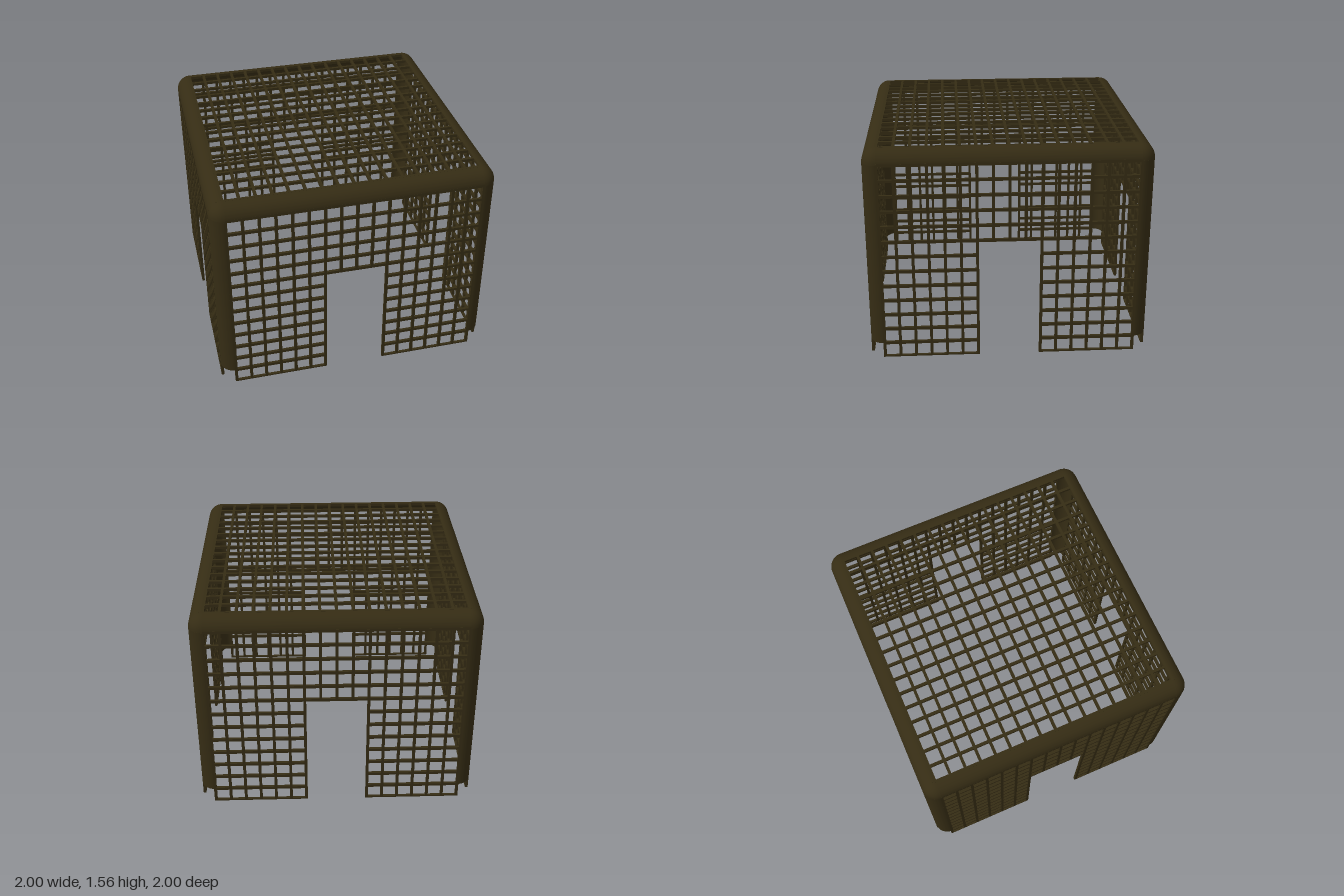
import * as THREE from 'three';
import { mergeGeometries, toCreasedNormals } from 'three/addons/utils/BufferGeometryUtils.js';

const PITCH = 0.1123;        // grid cell
const T = 0.02;              // bar and shell thickness
const A = 8 * PITCH;         // half width of a panel
const TOP = 13 * PITCH;      // top of the wall panels
const R = 1 - A;             // radius of the rounded edges
const DOOR_COL = 2, DOOR_ROW = 8;

const material = new THREE.MeshStandardMaterial({ color: 0x352c14 });

function mesh(name, geometry) {
  const m = new THREE.Mesh(geometry, material);
  m.name = name;
  return m;
}

// Bar between two corners of the XY plane
function bar(x0, x1, y0, y1) {
  return new THREE.BoxGeometry(x1 - x0, y1 - y0, T)
    .translate((x0 + x1) / 2, (y0 + y1) / 2, 0);
}
const upright = (x, y0, y1) => bar(x - T / 2, x + T / 2, y0, y1);
const rail = (y, x0, x1) => bar(x0, x1, Math.max(0, y - T / 2), y + T / 2);

// Wall grid with a doorway in the middle
function wallGeometry() {
  const parts = [];
  for (let i = -8; i <= 8; i++) {
    const bottom = Math.abs(i) < DOOR_COL ? DOOR_ROW * PITCH : 0;
    parts.push(upright(i * PITCH, bottom, TOP));
  }
  for (let j = 0; j <= 13; j++) {
    const y = j * PITCH, d = DOOR_COL * PITCH;
    if (j < DOOR_ROW) parts.push(rail(y, -A, -d), rail(y, d, A));
    else parts.push(rail(y, -A, A));
  }
  return mergeGeometries(parts).translate(0, 0, 1 - T / 2);
}

// Flat roof grid
function roofGeometry() {
  const parts = [];
  for (let i = -8; i <= 8; i++) {
    const c = i * PITCH;
    parts.push(upright(c, -A, A), bar(-A, A, c - T / 2, c + T / 2));
  }
  return mergeGeometries(parts).rotateX(-Math.PI / 2).translate(0, TOP + R - T / 2, 0);
}

// Quarter-round shell running along z
function quarterRound(length) {
  const s = new THREE.Shape();
  s.absarc(0, 0, R, 0, Math.PI / 2, false);
  s.absarc(0, 0, R - T, Math.PI / 2, 0, true);
  s.closePath();
  const g = new THREE.ExtrudeGeometry(s, { depth: length, bevelEnabled: false, curveSegments: 10 });
  return toCreasedNormals(g, 0.6);
}

// Eighth-of-a-sphere shell joining three rounded edges
function cornerGeometry() {
  const points = [], n = 10;
  const add = (r, a) => points.push(new THREE.Vector2(Math.max(0, r * Math.cos(a)), r * Math.sin(a)));
  for (let i = 0; i <= n; i++) add(R, (i / n) * Math.PI / 2);
  for (let i = n; i >= 0; i--) add(R - T, (i / n) * Math.PI / 2);
  return toCreasedNormals(new THREE.LatheGeometry(points, n, 0, Math.PI / 2), 0.6);
}

export function createModel() {
  const model = new THREE.Group();
  model.name = 'gridCage';

  const wall = wallGeometry();
  const post = quarterRound(TOP - PITCH).rotateX(-Math.PI / 2).translate(A, PITCH, -A);
  const beam = quarterRound(2 * A).translate(A, TOP, -A);
  const corner = cornerGeometry().translate(A, TOP, A);

  // Four identical sides around the vertical axis
  ['front', 'left', 'back', 'right'].forEach((side, k) => {
    const g = new THREE.Group();
    g.name = side + 'Side';
    g.rotation.y = k * Math.PI / 2;
    g.add(mesh('wallGrid', wall), mesh('cornerPost', post),
      mesh('topEdge', beam), mesh('topCorner', corner));
    model.add(g);
  });

  model.add(mesh('roofGrid', roofGeometry()));
  return model;
}
